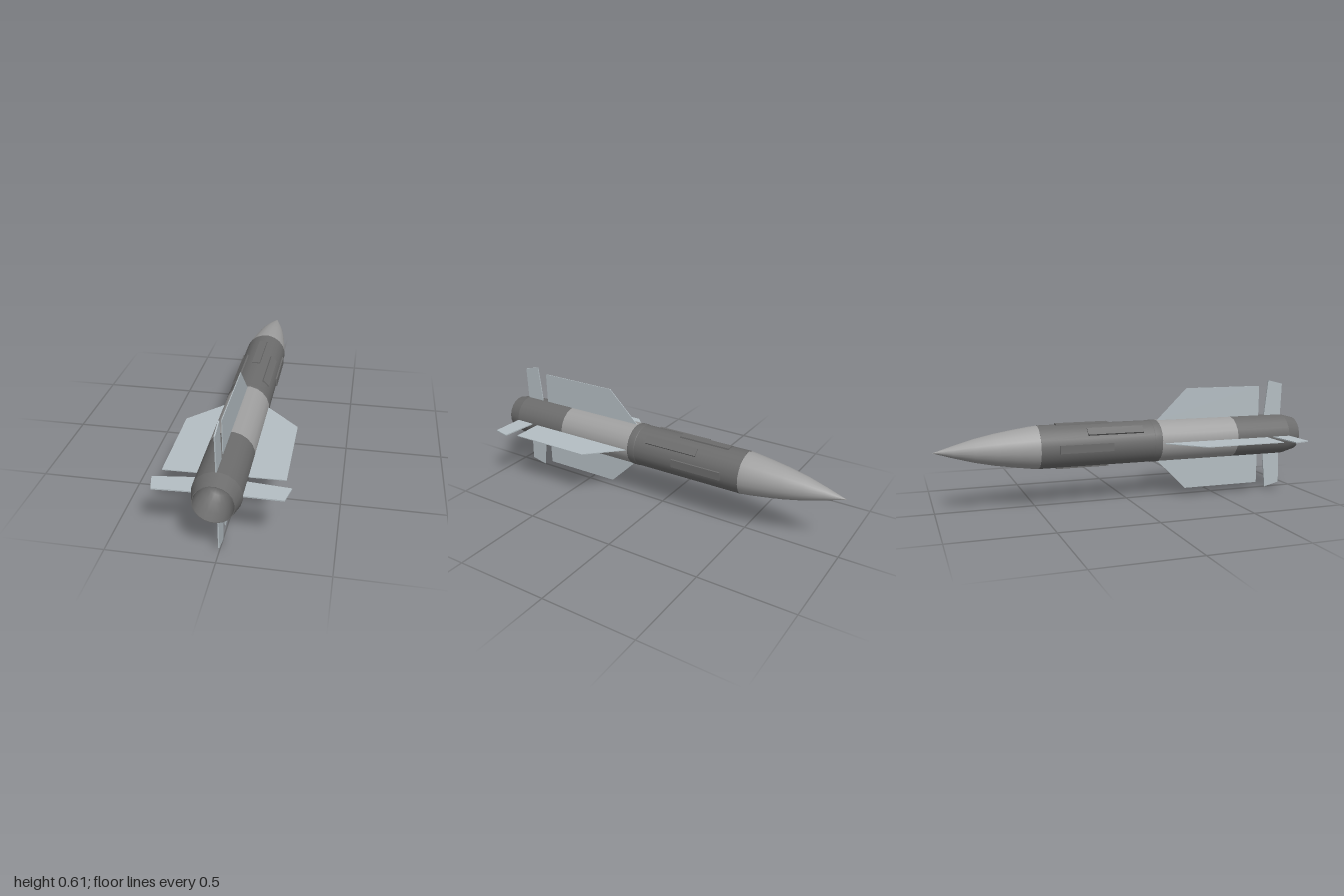
import * as THREE from 'three';

const SIDES = 20;
const R = 0.111;

const dark = new THREE.MeshStandardMaterial({ color: 0x6c6c6c, side: THREE.DoubleSide });
const light = new THREE.MeshStandardMaterial({ color: 0xa0a0a0, side: THREE.DoubleSide });
const finGrey = new THREE.MeshStandardMaterial({ color: 0xb4bec3, side: THREE.DoubleSide });

export function createModel() {
  const model = new THREE.Group();
  model.name = 'missile';
  const body = new THREE.Group();
  body.name = 'missileBody';
  model.add(body);

  const add = (name, geometry, material) => {
    const mesh = new THREE.Mesh(geometry, material);
    mesh.name = name;
    body.add(mesh);
  };

  // Turned section along z from [radius, z] pairs
  const turned = (name, pairs, material) => {
    const points = pairs.map(([r, z]) => new THREE.Vector2(r, z));
    const geometry = new THREE.LatheGeometry(points, SIDES, Math.PI / SIDES);
    add(name, geometry.rotateX(Math.PI / 2), material);
  };

  // Hull sections from nose to tail
  turned('noseCone', [[0, -1], [0.031, -0.9], [0.059, -0.8], [0.08, -0.7],
    [0.096, -0.6], [0.107, -0.52], [R - 0.001, -0.485]], light);
  turned('forwardSection', [[R, -0.485], [R, 0.12]], dark);
  turned('collar', [[R, 0.12], [R + 0.002, 0.124], [R + 0.002, 0.158], [R, 0.162]], dark);
  turned('motorSection', [[R, 0.162], [R, 0.605]], light);
  turned('tailSection', [[R, 0.605], [R, 0.925]], dark);
  turned('tailTaper', [[R, 0.925], [0.092, 1]], dark);
  turned('nozzleRim', [[0.092, 1], [0.089, 1]], dark);
  turned('nozzleBowl', [[0.089, 1], [0.083, 0.95], [0.068, 0.9], [0.047, 0.87], [0.025, 0.86], [0, 0.86]], dark);

  // Raised strips: four on the main axes, two on the upper diagonals
  const strip = (name, angle, zFront, zBack) => {
    const shape = new THREE.Shape();
    shape.moveTo(-0.023, 0.1);
    shape.lineTo(0.023, 0.1);
    shape.lineTo(0.021, 0.116);
    shape.lineTo(-0.021, 0.116);
    const geometry = new THREE.ExtrudeGeometry(shape, { depth: zBack - zFront, bevelEnabled: false });
    add(name, geometry.translate(0, 0, zFront).rotateZ(angle), dark);
  };
  for (let i = 0; i < 4; i++) strip('conduitStrip', i * Math.PI / 2, -0.39, -0.11);
  for (const s of [-1, 1]) strip('diagonalStrip', s * Math.PI / 4, -0.24, 0.06);

  // Flat blade from [z, radius] outline, repeated around the hull
  const blades = (name, outline, thickness) => {
    const shape = new THREE.Shape(outline.map(([z, r]) => new THREE.Vector2(z, r)));
    for (let i = 0; i < 4; i++) {
      const geometry = new THREE.ExtrudeGeometry(shape, { depth: thickness, bevelEnabled: false });
      geometry.translate(0, 0, -thickness / 2).rotateY(-Math.PI / 2).rotateZ(i * Math.PI / 2);
      add(name, geometry, finGrey);
    }
  };
  blades('wing', [[0.16, 0.1], [0.785, 0.1], [0.785, 0.276], [0.34, 0.276]], 0.004);
  blades('tailFin', [[0.82, 0.1], [0.925, 0.1], [0.93, 0.285], [0.842, 0.306]], 0.006);

  // Slight lean of the whole body
  body.rotation.set(0.0018, 0.0105, 0.007);
  body.position.set(-0.0125, 0.3085, 0);
  return model;
}
